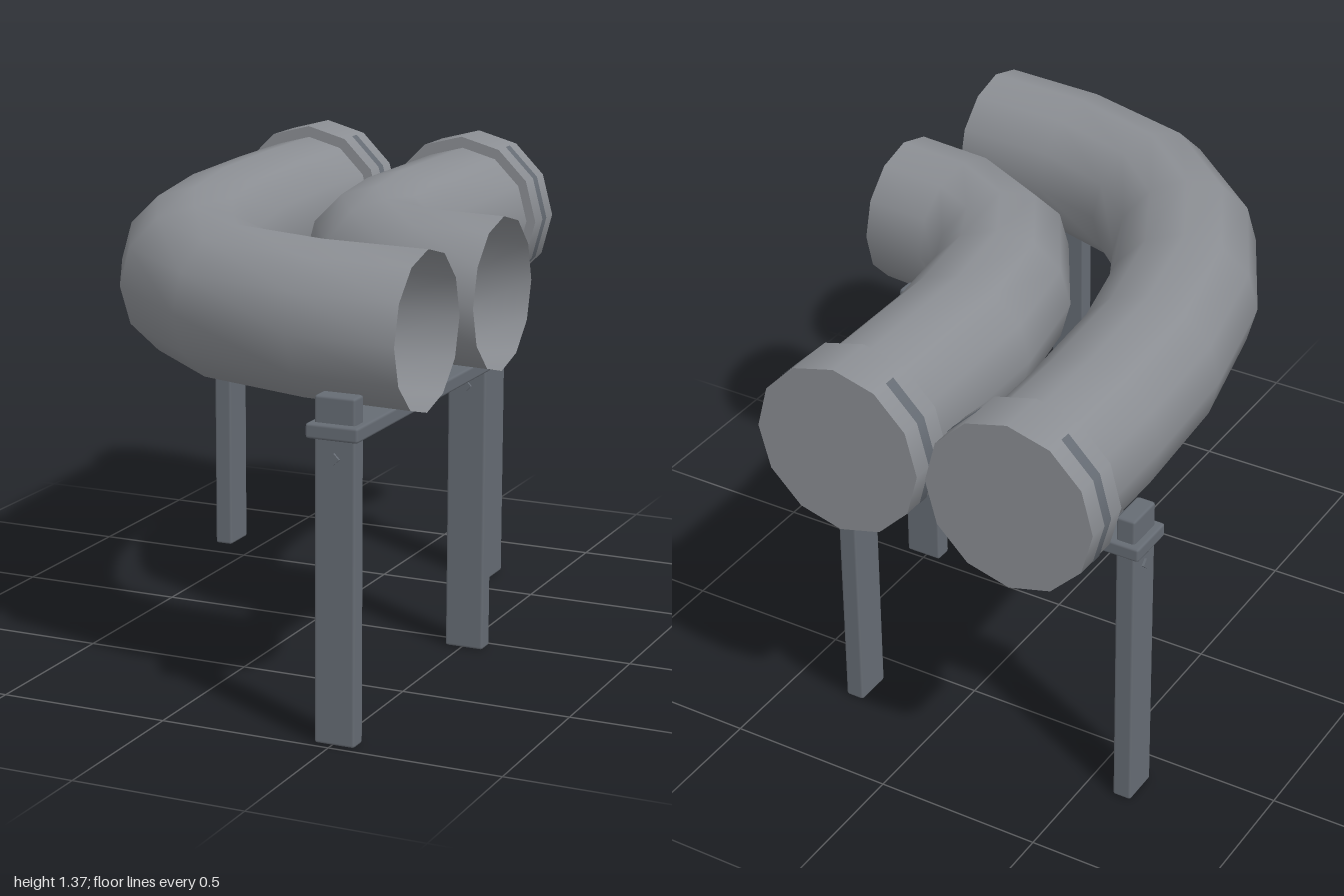
import * as THREE from 'three';
import { RoundedBoxGeometry } from 'three/addons/geometries/RoundedBoxGeometry.js';

const pipeMat = new THREE.MeshStandardMaterial({ name: 'pipeGrey', color: 0x8c8f94, side: THREE.DoubleSide });
const steelMat = new THREE.MeshStandardMaterial({ name: 'darkSteel', color: 0x666c74 });

const SIDES = 12, RADIUS = 0.22, AXIS_Y = 1.11;

function add(parent, name, geometry, material, x = 0, y = 0, z = 0) {
  const mesh = new THREE.Mesh(geometry, material);
  mesh.name = name;
  mesh.position.set(x, y, z);
  parent.add(mesh);
  return mesh;
}

// Bent tube: each section is [outer x, outer z, inner x, inner z]
function bentTube(sections) {
  const pos = [], index = [];
  sections.forEach(([ox, oz, ix, iz], i) => {
    for (let j = 0; j < SIDES; j++) {
      const a = (j / SIDES) * Math.PI * 2, c = Math.cos(a) / 2;
      pos.push((ox + ix) / 2 + c * (ox - ix), AXIS_Y + RADIUS * Math.sin(a), (oz + iz) / 2 + c * (oz - iz));
      if (i === sections.length - 1) continue;
      const k = (j + 1) % SIDES, p = i * SIDES, q = p + SIDES;
      index.push(p + j, q + j, p + k, q + j, q + k, p + k);
    }
  });
  const g = new THREE.BufferGeometry();
  g.setAttribute('position', new THREE.Float32BufferAttribute(pos, 3));
  g.setIndex(index);
  g.computeVertexNormals();
  return g;
}

// Closed end collar with a dark band along each side
function collar(x) {
  const group = new THREE.Group();
  group.name = 'endCollar';
  add(group, 'collarBody', new THREE.CylinderGeometry(0.255, 0.255, 0.15, SIDES).rotateX(Math.PI / 2), pipeMat);
  for (const start of [Math.PI / 6, Math.PI * 7 / 6]) {
    const band = new THREE.CylinderGeometry(0.257, 0.257, 0.035, 4, 1, true, start, Math.PI * 2 / 3);
    add(group, 'collarBand', band.rotateX(Math.PI / 2), steelMat);
  }
  group.position.set(x, AXIS_Y, -0.925);
  return group;
}

// Trestle: two bevelled legs and a cross beam running along local x
function trestle() {
  const group = new THREE.Group();
  group.name = 'trestle';
  add(group, 'crossBeam', new RoundedBoxGeometry(1.01, 0.042, 0.152, 1, 0.008), steelMat, 0, 0.868, 0);
  for (const x of [-0.455, 0.455]) {
    add(group, 'leg', new RoundedBoxGeometry(0.058, 0.962, 0.118, 1, 0.008), steelMat, x, 0.481, 0);
    // Square bolt through the leg, turned on its corner
    const bolt = new THREE.BoxGeometry(0.072, 0.023, 0.023).rotateX(Math.PI / 4);
    add(group, 'bolt', bolt, steelMat, x, 0.795, 0);
  }
  return group;
}

export function createModel() {
  const model = new THREE.Group();
  model.name = 'pipesOnTrestles';

  add(model, 'outerPipe', bentTube([
    [-0.65, -0.98, -0.21, -0.98], [-0.645, -0.56, -0.205, -0.56], [-0.62, -0.18, -0.18, -0.21],
    [-0.53, 0.23, -0.11, 0.09], [-0.34, 0.59, 0, 0.32], [-0.03, 0.86, 0.15, 0.46],
    [0.36, 0.97, 0.38, 0.535], [0.68, 0.99, 0.68, 0.55],
  ]), pipeMat);
  add(model, 'innerPipe', bentTube([
    [-0.11, -0.98, 0.33, -0.98], [-0.11, -0.35, 0.33, -0.38], [-0.05, -0.02, 0.36, -0.15],
    [0.13, 0.28, 0.40, -0.05], [0.43, 0.43, 0.48, -0.005], [0.68, 0.455, 0.68, 0.015],
  ]), pipeMat);
  model.add(collar(-0.43), collar(0.105));

  const back = trestle();
  back.position.set(-0.163, 0, -0.647);
  const side = trestle();
  side.rotation.y = Math.PI / 2;
  side.position.set(0.508, 0, 0.497);
  model.add(back, side);
  return model;
}
